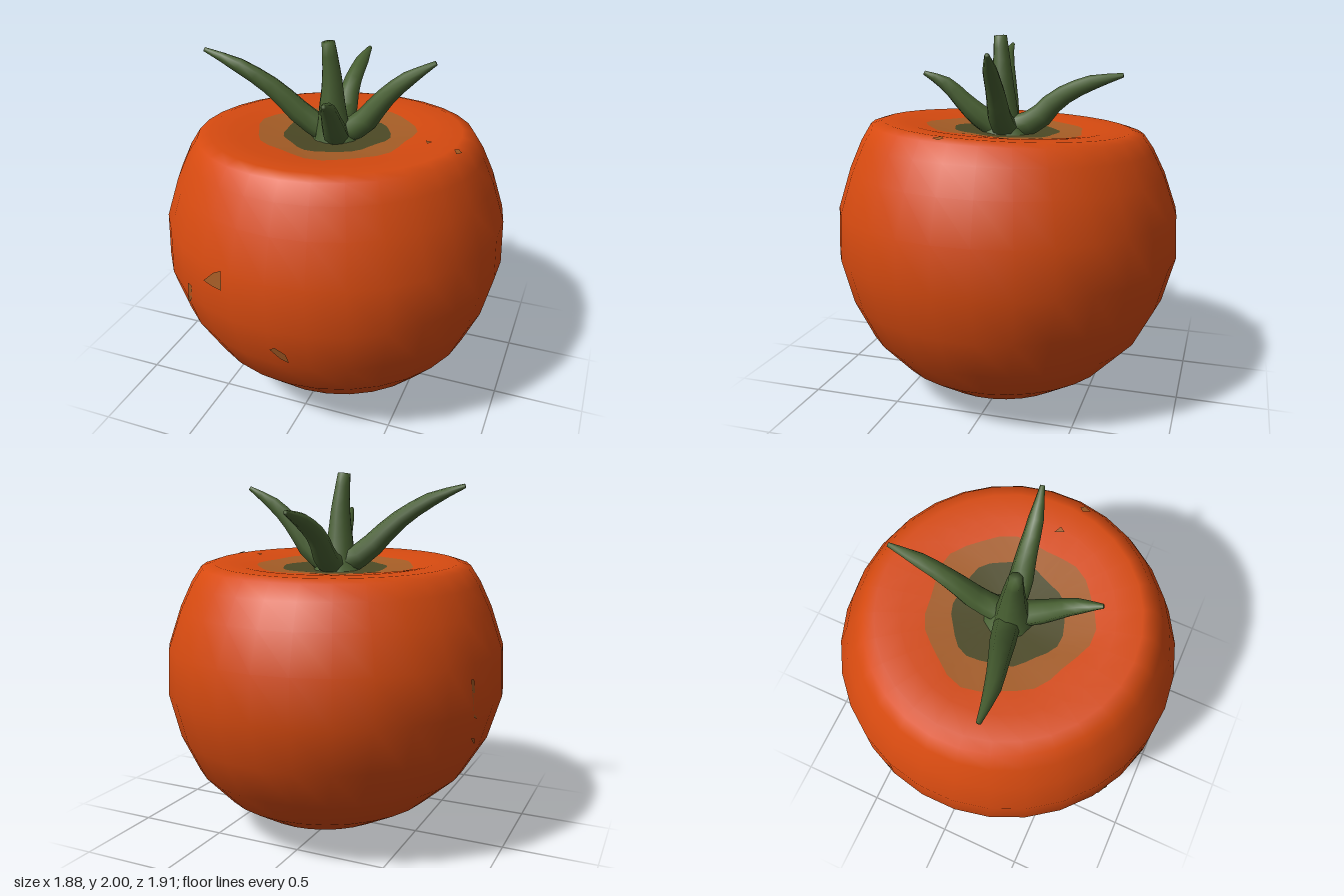
import * as THREE from 'three';
import { mergeVertices } from 'three/addons/utils/BufferGeometryUtils.js';

const paint = (name, color, side = THREE.FrontSide) => {
  const m = new THREE.MeshStandardMaterial({ color, side });
  m.name = name;
  return m;
};
const vec = (p) => new THREE.Vector3(...p);

// Fruit: lathed, then tilted at the top and pushed sideways at the base
function fruitGeometry() {
  const profile = [
    [0, 0], [0.15, 0.005], [0.4, 0.08], [0.6, 0.2], [0.77, 0.37], [0.88, 0.58],
    [0.945, 0.82], [0.935, 1.07], [0.865, 1.28], [0.8, 1.42], [0.745, 1.505],
    [0.68, 1.525], [0.55, 1.52], [0.43, 1.505], [0.29, 1.49], [0.12, 1.475], [0, 1.47],
  ];
  const n = profile.length, halo = 13, heart = 14;
  const geo = new THREE.LatheGeometry(profile.map(([r, y]) => new THREE.Vector2(r, y)), 30);
  const pos = geo.attributes.position;
  for (let i = 0; i < pos.count; i++) {
    let x = pos.getX(i), y = pos.getY(i), z = pos.getZ(i);
    const ring = i % n, a = Math.atan2(x, z);
    if (ring === halo || ring === heart) {
      const wobble = 1 + 0.04 * Math.sin(3 * a + ring) + 0.03 * Math.sin(7 * a + 2 * ring);
      x *= wobble;
      z *= wobble;
    }
    if (y > 0.85) y += ((y - 0.85) / 0.7) ** 2 * (0.045 * z + 0.018 * x);
    else x += 0.08 * (1 - y / 0.85) ** 2;
    pos.setXYZ(i, x, y, z * 1.01);
  }
  // Sort the faces into skin, halo and heart
  const zones = [[], [], []], idx = geo.index.array;
  for (let i = 0; i < idx.length; i += 3) {
    const tri = [idx[i], idx[i + 1], idx[i + 2]];
    const ring = Math.min(...tri.map((v) => v % n));
    zones[ring >= heart ? 2 : ring === halo ? 1 : 0].push(...tri);
  }
  geo.setIndex(zones.flat());
  let start = 0;
  zones.forEach((z, k) => {
    geo.addGroup(start, z.length, k);
    start += z.length;
  });
  geo.deleteAttribute('normal');
  geo.deleteAttribute('uv');
  const merged = mergeVertices(geo);
  merged.computeVertexNormals();
  return merged;
}

// Tapered tube along a curve, closed at its end
function taperedTube(points, radii, sides = 8) {
  const curve = new THREE.CatmullRomCurve3(points.map(vec));
  const n = 9;
  const geo = new THREE.TubeGeometry(curve, n, 1, sides);
  const pos = geo.attributes.position, v = new THREE.Vector3();
  for (let i = 0; i < pos.count; i++) {
    const ring = Math.floor(i / (sides + 1));
    const t = Math.min(ring, n - 1) / (n - 1);
    const s = t * (radii.length - 1), k = Math.min(Math.floor(s), radii.length - 2);
    const r = ring === n ? 0 : THREE.MathUtils.lerp(radii[k], radii[k + 1], s - k);
    v.fromBufferAttribute(pos, i).sub(curve.getPointAt(ring / n)).multiplyScalar(r);
    v.add(curve.getPointAt(t));
    pos.setXYZ(i, v.x, v.y, v.z);
  }
  geo.deleteAttribute('normal');
  geo.deleteAttribute('uv');
  const merged = mergeVertices(geo);
  merged.computeVertexNormals();
  return merged;
}

// Thin blemish laid on the fruit, outlined in the plane facing a direction
function blemishGeometry(fruit, toward, outline) {
  const dir = vec(toward).normalize();
  const up0 = Math.abs(dir.y) > 0.9 ? new THREE.Vector3(0, 0, -1) : new THREE.Vector3(0, 1, 0);
  const right = up0.clone().cross(dir).normalize();
  const up = dir.clone().cross(right);
  const geo = new THREE.ShapeGeometry(new THREE.Shape(outline.map(([u, v]) => new THREE.Vector2(u, v))));
  const pos = geo.attributes.position, ray = new THREE.Raycaster();
  for (let i = 0; i < pos.count; i++) {
    const origin = new THREE.Vector3(0, 0.85, 0).addScaledVector(right, pos.getX(i))
      .addScaledVector(up, pos.getY(i)).addScaledVector(dir, 3);
    ray.set(origin, dir.clone().negate());
    const hit = ray.intersectObject(fruit)[0];
    const p = hit ? hit.point.addScaledVector(dir, 0.008) : origin.addScaledVector(dir, -2.2);
    pos.setXYZ(i, p.x, p.y, p.z);
  }
  geo.computeVertexNormals();
  return geo;
}

export function createModel() {
  const group = new THREE.Group();
  const skin = paint('orange red skin', 0xd64a10);
  const tan = paint('tan brown', 0xa65d26, THREE.DoubleSide);
  const heart = paint('dark olive', 0x4c4925);
  const green = paint('leaf green', 0x486032, THREE.DoubleSide);
  const add = (name, geo, mat) => {
    const mesh = new THREE.Mesh(geo, mat);
    mesh.name = name;
    group.add(mesh);
    return mesh;
  };

  const fruit = add('fruit', fruitGeometry(), [skin, tan, heart]);

  // Stem and the hub where the sepals meet
  add('stem', taperedTube([[0, 1.45, 0.03], [-0.01, 1.62, 0.03], [-0.01, 1.8, 0.035], [-0.025, 2, 0.05]],
    [0.12, 0.085, 0.065, 0.05, 0.037]), green);
  const hub = add('calyxHub', new THREE.CylinderGeometry(0.07, 0.14, 0.09, 10), green);
  hub.position.set(0, 1.51, 0.01);

  // Four sepals, each curving up and out to its tip
  const sepals = {
    rightSepal: [[-0.04, 1.5, 0.02], [-0.16, 1.58, 0.05], [-0.32, 1.74, 0.1], [-0.5, 1.86, 0.15], [-0.68, 1.93, 0.17]],
    leftSepal: [[0.04, 1.5, 0], [0.15, 1.57, 0], [0.25, 1.7, -0.01], [0.37, 1.82, -0.02], [0.52, 1.92, -0.05]],
    backSepal: [[0, 1.5, -0.04], [-0.01, 1.55, -0.16], [-0.02, 1.66, -0.27], [-0.02, 1.75, -0.44], [-0.025, 1.8, -0.63]],
    frontSepal: [[0.02, 1.5, 0.05], [0.04, 1.55, 0.13], [0.06, 1.63, 0.22], [0.08, 1.74, 0.33], [0.105, 1.8, 0.45]],
  };
  for (const [name, path] of Object.entries(sepals))
    add(name, taperedTube(path, [0.07, 0.065, 0.052, 0.04, 0.012]), green);

  // Small blemishes on the skin
  const front = [0, 0, 1], top = [0, 1, 0], backRight = [-0.66, 0.36, -0.66];
  const blemishes = [
    [front, [[-0.37, 0.13], [-0.31, 0.12], [-0.25, 0.12], [-0.25, 0.23], [-0.3, 0.2]]],
    [front, [[-0.56, -0.12], [-0.52, -0.09], [-0.48, -0.02], [-0.48, 0.04], [-0.51, 0.04], [-0.52, -0.04]]],
    [front, [[0, -0.16], [0.05, -0.22], [0.09, -0.24], [0.08, -0.18], [0.03, -0.14]]],
    [top, [[0.51, -0.04], [0.53, -0.09], [0.55, -0.06]]],
    [top, [[0.68, -0.13], [0.7, -0.17], [0.72, -0.13], [0.7, -0.11]]],
    [backRight, [[0.39, -0.17], [0.42, -0.35], [0.45, -0.36], [0.41, -0.17]]],
    [backRight, [[0.44, -0.45], [0.49, -0.48], [0.48, -0.45]]],
  ];
  blemishes.forEach(([toward, outline], i) =>
    add(`blemish${i + 1}`, blemishGeometry(fruit, toward, outline), tan));

  return group;
}
